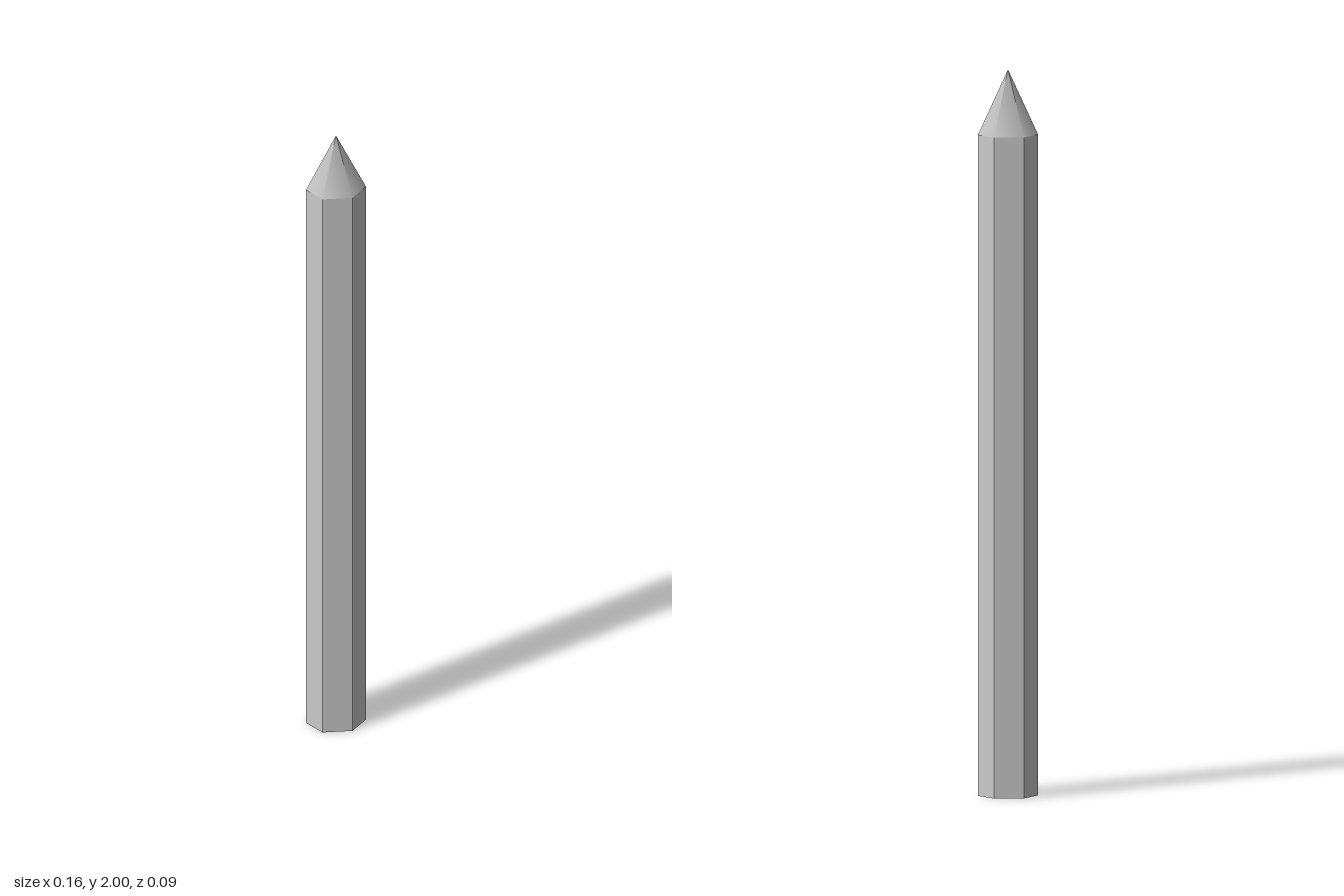
import * as THREE from 'three';

const RADIUS = 0.082;
const DEPTH_SCALE = 0.66; // flattens the hexagon front to back
const SHOULDER = 1.82;
const HEIGHT = 2;

// Six-sided section from y0 to y1, with corners on the x axis
function hexSection(name, topRadius, y0, y1, openEnded, flatShading) {
  const geometry = new THREE.CylinderGeometry(topRadius, RADIUS, y1 - y0, 6, 1, openEnded, Math.PI / 6);
  geometry.scale(1, 1, DEPTH_SCALE);
  geometry.translate(0, (y0 + y1) / 2, 0);
  const material = new THREE.MeshStandardMaterial({ color: 0xcccccc, flatShading });
  const mesh = new THREE.Mesh(geometry, material);
  mesh.name = name;
  return mesh;
}

export function createModel() {
  const group = new THREE.Group();
  group.name = 'pointedStake';
  // Faceted shaft, closed at the bottom
  group.add(hexSection('shaft', RADIUS, 0, SHOULDER, false, true));
  // Smoothly shaded point
  group.add(hexSection('tip', 0, SHOULDER, HEIGHT, true, false));
  return group;
}
